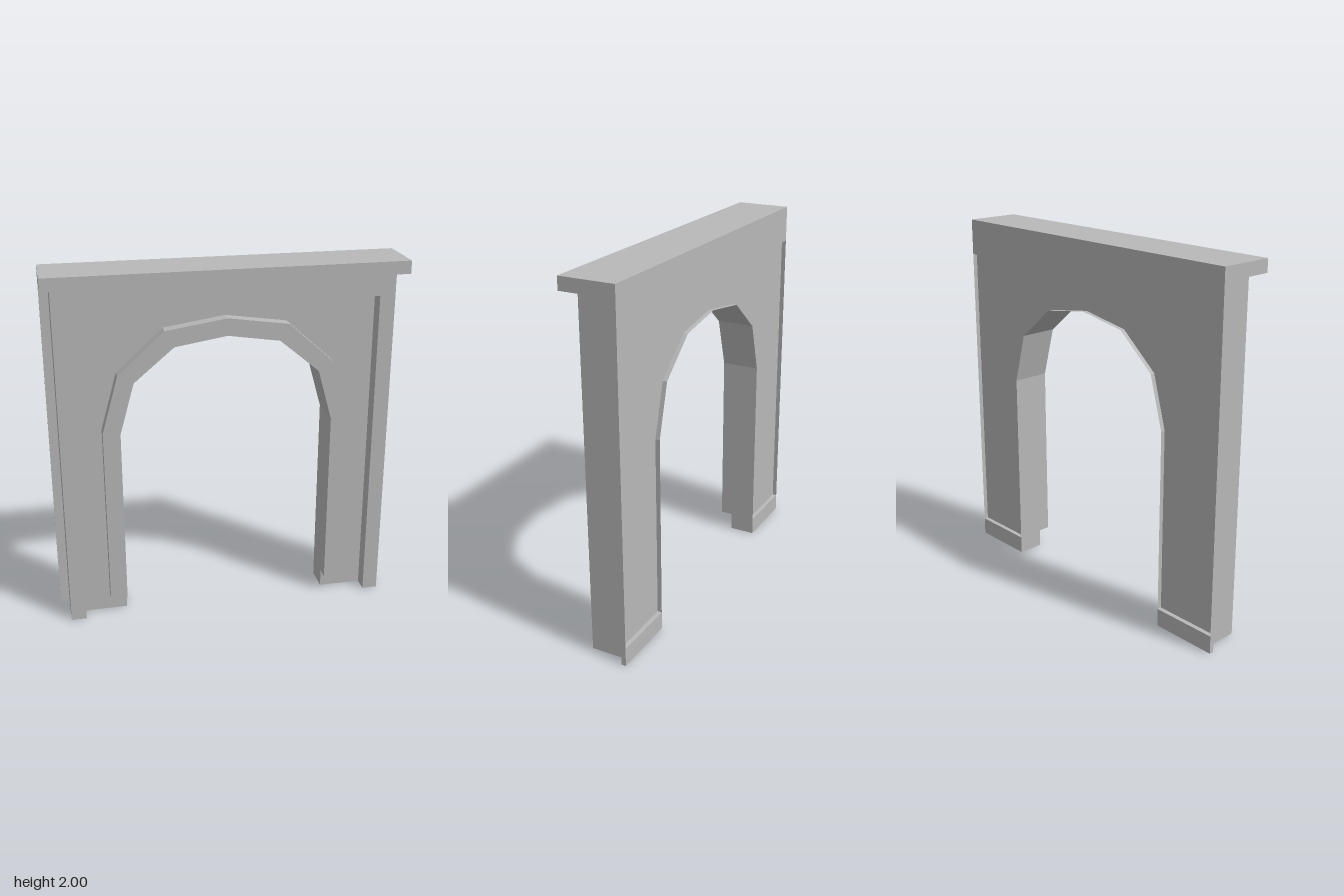
import * as THREE from 'three';

// Depth planes, back to front
const BACK = -0.152, WALL = -0.127, PANEL = -0.005, TRIM = 0.063, FRAME = 0.079, EAVE = 0.152;
const HALF = 0.96, BODY = 0.91, NICHE = 0.825, JAMB = 0.585;
const LEDGE = 1.93, BAND = 1.8, PLINTH = 0.1;

// Right half of each arch line, from the springing up to the crown
const INNER = [[JAMB, 1.11], [0.505, 1.395], [0.285, 1.58], [0, 1.625]];
const OUTER = [[0.68, 1.12], [0.59, 1.44], [0.335, 1.67], [0, 1.72]];

// Full arch line from the right foot over the crown to the left foot
function archLine(half, foot) {
  const right = [[half[0][0], foot], ...half];
  const left = right.slice(0, -1).reverse().map(([x, y]) => [-x, y]);
  return [...right, ...left];
}

function slab(points, z0, z1) {
  const shape = new THREE.Shape(points.map(([x, y]) => new THREE.Vector2(x, y)));
  const g = new THREE.ExtrudeGeometry(shape, { depth: z1 - z0, bevelEnabled: false });
  return g.translate(0, 0, z0);
}

function box(x0, x1, y0, y1, z0, z1) {
  return new THREE.BoxGeometry(x1 - x0, y1 - y0, z1 - z0)
    .translate((x0 + x1) / 2, (y0 + y1) / 2, (z0 + z1) / 2);
}

// Thin sheet swept along a line, between two depths
function sheet(line, z0, z1) {
  const pos = [];
  for (let i = 0; i < line.length - 1; i++) {
    const [ax, ay] = line[i], [bx, by] = line[i + 1];
    pos.push(ax, ay, z0, bx, by, z0, bx, by, z1, ax, ay, z0, bx, by, z1, ax, ay, z1);
  }
  const g = new THREE.BufferGeometry();
  g.setAttribute('position', new THREE.Float32BufferAttribute(pos, 3));
  g.computeVertexNormals();
  return g;
}

export function createModel() {
  const group = new THREE.Group();
  const stone = new THREE.MeshStandardMaterial({ color: 0xb8b8b8, side: THREE.DoubleSide });
  stone.name = 'grey stone';
  const add = (name, geometry) => {
    const mesh = new THREE.Mesh(geometry, stone);
    mesh.name = name;
    group.add(mesh);
  };

  // Main wall with the arched opening
  add('wall', slab([[BODY, 0], [BODY, LEDGE], [-BODY, LEDGE], [-BODY, 0],
    ...archLine(INNER, 0).reverse()], WALL, PANEL));

  // Raised square frame around the front panel
  add('frontFrame', slab([[NICHE, 0], [BODY, 0], [BODY, LEDGE], [-BODY, LEDGE], [-BODY, 0],
    [-NICHE, 0], [-NICHE, BAND], [NICHE, BAND]], PANEL, FRAME));

  // Raised trim following the arch
  add('archTrim', slab([...archLine(OUTER, PLINTH), ...archLine(INNER, PLINTH).reverse()], PANEL, TRIM));

  // Overhanging top with a band down the back
  const cornice = slab([[EAVE, 2], [BACK, 2], [BACK, BAND], [WALL, BAND], [WALL, LEDGE], [EAVE, LEDGE]],
    -HALF, HALF);
  add('cornice', cornice.rotateY(-Math.PI / 2));

  // Thin lip around the opening at the back
  add('archLip', sheet(archLine(INNER, PLINTH), BACK, WALL));

  for (const [side, s] of [['left', 1], ['right', -1]]) {
    const a = Math.min(s * JAMB, s * HALF), b = Math.max(s * JAMB, s * HALF);
    // Foot block at the back
    add(side + 'Plinth', box(a, b, 0, PLINTH, BACK, WALL));
    // Thin side flange and its lip
    add(side + 'Flange', new THREE.PlaneGeometry(HALF - BODY, BAND - PLINTH)
      .translate(s * (HALF + BODY) / 2, (BAND + PLINTH) / 2, WALL));
    add(side + 'Lip', sheet([[s * HALF, PLINTH], [s * HALF, BAND]], BACK, WALL));
  }
  return group;
}
